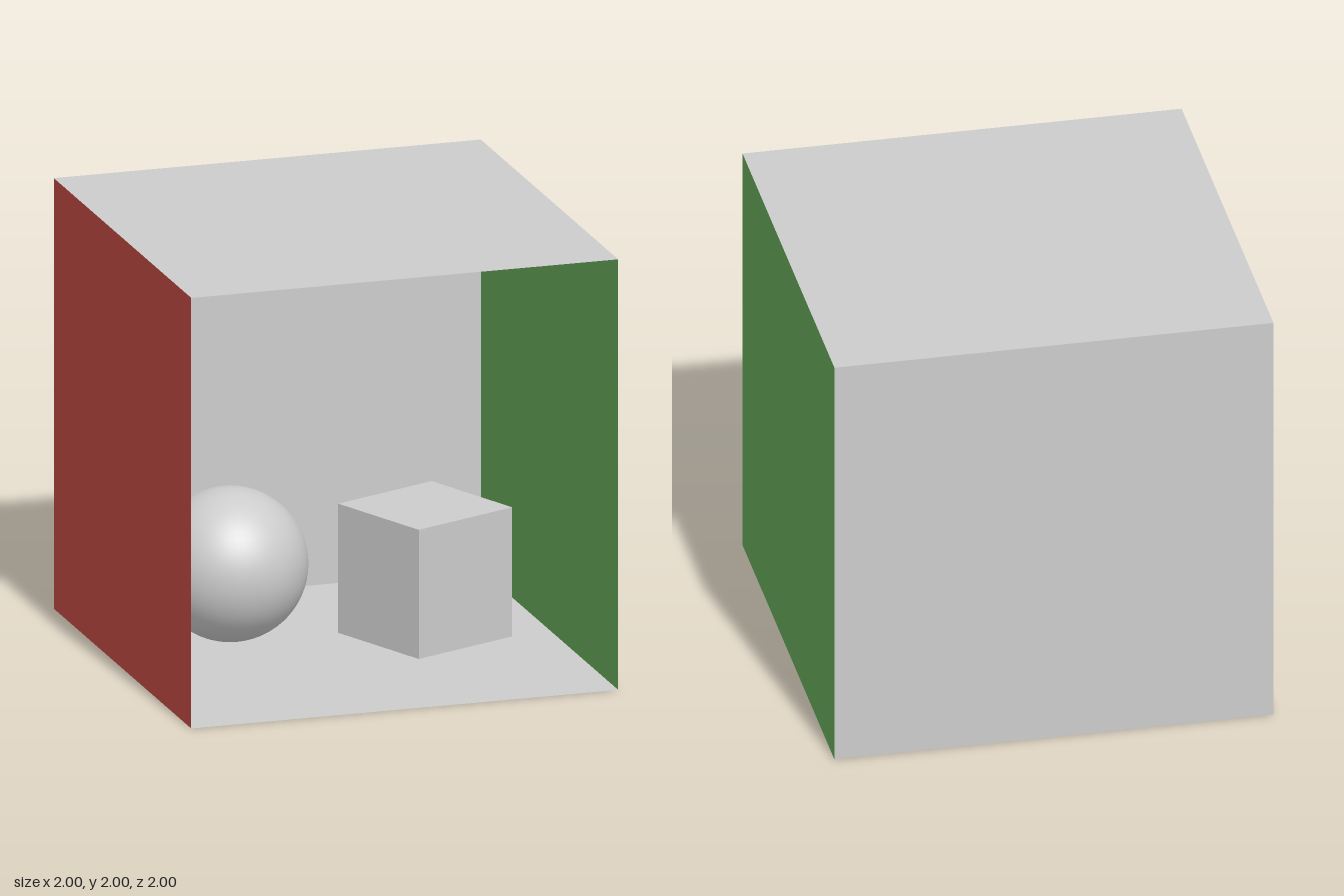
import * as THREE from 'three';

export function createModel() {
  const model = new THREE.Group();
  model.name = 'openRoom';

  const material = (name, color) =>
    Object.assign(new THREE.MeshStandardMaterial({ color, side: THREE.DoubleSide }), { name });
  const grey = material('light grey', 0xcccccc);
  const red = material('red', 0xc14a42);
  const green = material('green', 0x64a85a);

  const add = (name, geometry, mat, position, rotation = [0, 0, 0]) => {
    const mesh = new THREE.Mesh(geometry, mat);
    mesh.name = name;
    mesh.position.set(...position);
    mesh.rotation.set(...rotation);
    model.add(mesh);
  };

  // Thin room panels facing inward, with the front left open
  const panel = new THREE.PlaneGeometry(2, 2);
  const quarter = Math.PI / 2;
  add('floor', panel, grey, [0, 0, 0], [-quarter, 0, 0]);
  add('ceiling', panel, grey, [0, 2, 0], [quarter, 0, 0]);
  add('backWall', panel, grey, [0, 1, -1]);
  add('rightWall', panel, red, [-1, 1, 0], [0, quarter, 0]);
  add('leftWall', panel, green, [1, 1, 0], [0, -quarter, 0]);

  // Objects standing on the floor
  add('sphere', new THREE.SphereGeometry(0.35, 64, 32), grey, [-0.4, 0.35, -0.3]);
  add('block', new THREE.BoxGeometry(0.55, 0.6, 0.55), grey, [0.45, 0.3, -0.1], [0, 0.4, 0]);

  return model;
}
